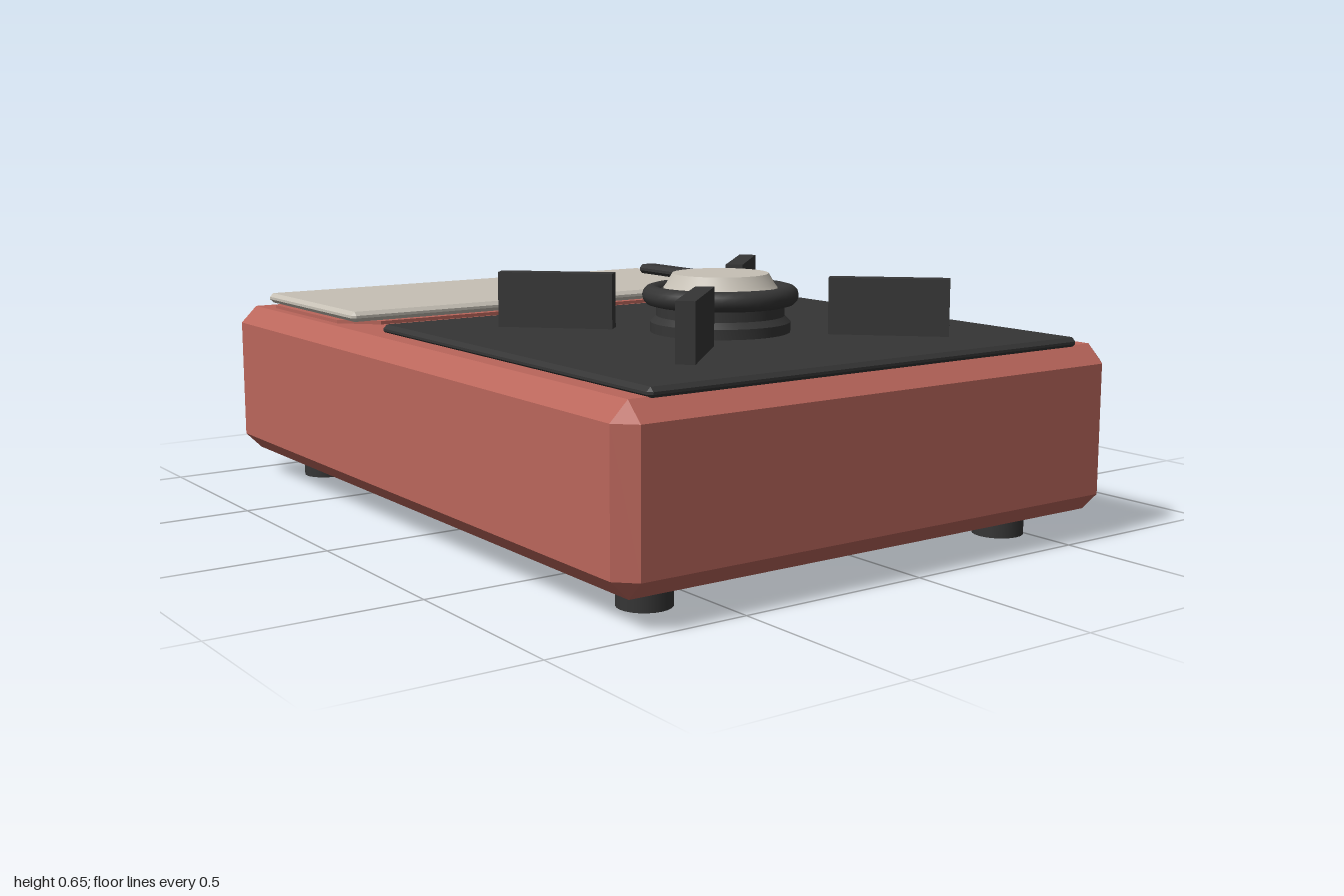
import * as THREE from 'three';
import { toCreasedNormals } from 'three/addons/utils/BufferGeometryUtils.js';
import { ConvexGeometry } from 'three/addons/geometries/ConvexGeometry.js';

const material = (name, color) => {
  const m = new THREE.MeshStandardMaterial({ color });
  m.name = name;
  return m;
};

export function createModel() {
  const red = material('red enamel', 0xba665b);
  const black = material('black metal', 0x353535);
  const beige = material('warm grey metal', 0xc6c0b5);
  const model = new THREE.Group();

  const add = (name, geometry, mat, x = 0, y = 0, z = 0) => {
    const mesh = new THREE.Mesh(geometry, mat);
    mesh.name = name;
    mesh.position.set(x, y, z);
    model.add(mesh);
    return mesh;
  };

  // Box between two corners with every edge chamfered by c
  const chamferBox = (name, mat, [x0, x1], [y0, y1], [z0, z1], c) => {
    const half = [(x1 - x0) / 2, (y1 - y0) / 2, (z1 - z0) / 2];
    const points = [];
    for (const sx of [-1, 1]) for (const sy of [-1, 1]) for (const sz of [-1, 1])
      for (let axis = 0; axis < 3; axis++) {
        const p = half.map((h, i) => (i === axis ? h : h - c));
        points.push(new THREE.Vector3(sx * p[0], sy * p[1], sz * p[2]));
      }
    return add(name, new ConvexGeometry(points), mat, (x0 + x1) / 2, (y0 + y1) / 2, (z0 + z1) / 2);
  };

  const lathe = (profile) => toCreasedNormals(
    new THREE.LatheGeometry(profile.map(([r, y]) => new THREE.Vector2(r, y)), 40), 0.5);

  // Casing
  chamferBox('body', red, [-0.815, 0.64], [0.07, 0.485], [-1, 1], 0.045);

  // Feet
  for (const x of [-0.63, 0.45]) for (const z of [-0.81, 0.81])
    add('foot', new THREE.CylinderGeometry(0.064, 0.064, 0.08, 24), black, x, 0.04, z);

  // Drip plate under the burner
  chamferBox('dripPlate', black, [-0.725, 0.545], [0.479, 0.505], [-0.235, 0.965], 0.01);

  // Burner body with rolled rim, and its cap
  const bx = -0.09, bz = 0.365;
  add('burnerBase', lathe([[0.175, 0.5], [0.175, 0.53], [0.16, 0.545], [0.16, 0.61], [0, 0.61]]), black, bx, 0, bz);
  const rim = add('burnerRim', new THREE.TorusGeometry(0.17, 0.025, 12, 40), black, bx, 0.596, bz);
  rim.rotation.x = Math.PI / 2;
  add('burnerCap', lathe([[0.142, 0.605], [0.142, 0.615], [0.135, 0.624], [0.12, 0.65], [0, 0.65]]), beige, bx, 0, bz);

  // Four diagonal pan supports
  for (let i = 0; i < 4; i++) {
    const a = Math.PI / 4 + i * Math.PI / 2;
    const support = add('panSupport', new THREE.BoxGeometry(0.294, 0.145, 0.045), black,
      bx + 0.417 * Math.cos(a), 0.572, bz - 0.417 * Math.sin(a));
    support.rotation.y = a;
  }

  // Cartridge bay: low seat with cut corners, lid and lid grip
  const seat = new THREE.Shape();
  [[-0.745, -0.87], [-0.66, -0.955], [0.48, -0.955], [0.57, -0.87],
    [0.57, -0.46], [0.48, -0.37], [-0.66, -0.37], [-0.745, -0.46]]
    .forEach(([x, z], i) => (i ? seat.lineTo(x, -z) : seat.moveTo(x, -z)));
  const seatGeometry = new THREE.ExtrudeGeometry(seat, { depth: 0.017, bevelEnabled: false });
  seatGeometry.rotateX(-Math.PI / 2);
  add('lidSeat', seatGeometry, red, 0, 0.477, 0);
  chamferBox('cartridgeLid', beige, [-0.735, 0.56], [0.494, 0.521], [-0.945, -0.383], 0.01);
  chamferBox('lidGrip', black, [0.463, 0.527], [0.52, 0.55], [-0.8, -0.53], 0.011);

  // Trim strip on the left side
  add('sideStrip', new THREE.BoxGeometry(0.014, 0.066, 1.085), beige, 0.645, 0.188, 0.318);

  // Control knob: collar, fluted grip and pointer
  const ky = 0.282, kz = -0.193;
  const collar = add('knobCollar', new THREE.CylinderGeometry(0.085, 0.085, 0.03, 32), black, 0.65, ky, kz);
  collar.rotation.z = -Math.PI / 2;
  const flutes = new THREE.Shape();
  const ribs = 18;
  for (let i = 0; i < ribs * 4; i++) {
    const a = (i / (ribs * 4)) * Math.PI * 2;
    const r = i % 4 < 3 ? 0.108 : 0.1;
    if (i) flutes.lineTo(r * Math.cos(a), r * Math.sin(a));
    else flutes.moveTo(r, 0);
  }
  const grip = add('knobGrip', new THREE.ExtrudeGeometry(flutes, { depth: 0.09, bevelEnabled: false }), black, 0.653, ky, kz);
  grip.rotation.y = Math.PI / 2;
  add('knobPointer', new THREE.BoxGeometry(0.03, 0.105, 0.03), beige, 0.747, 0.335, kz);

  // Cartridge lock: housing and lever
  chamferBox('leverHousing', beige, [0.62, 0.708], [0.214, 0.311], [-0.803, -0.622], 0.012);
  chamferBox('lockLever', black, [0.69, 0.812], [0.238, 0.286], [-0.796, -0.636], 0.014);

  return model;
}
